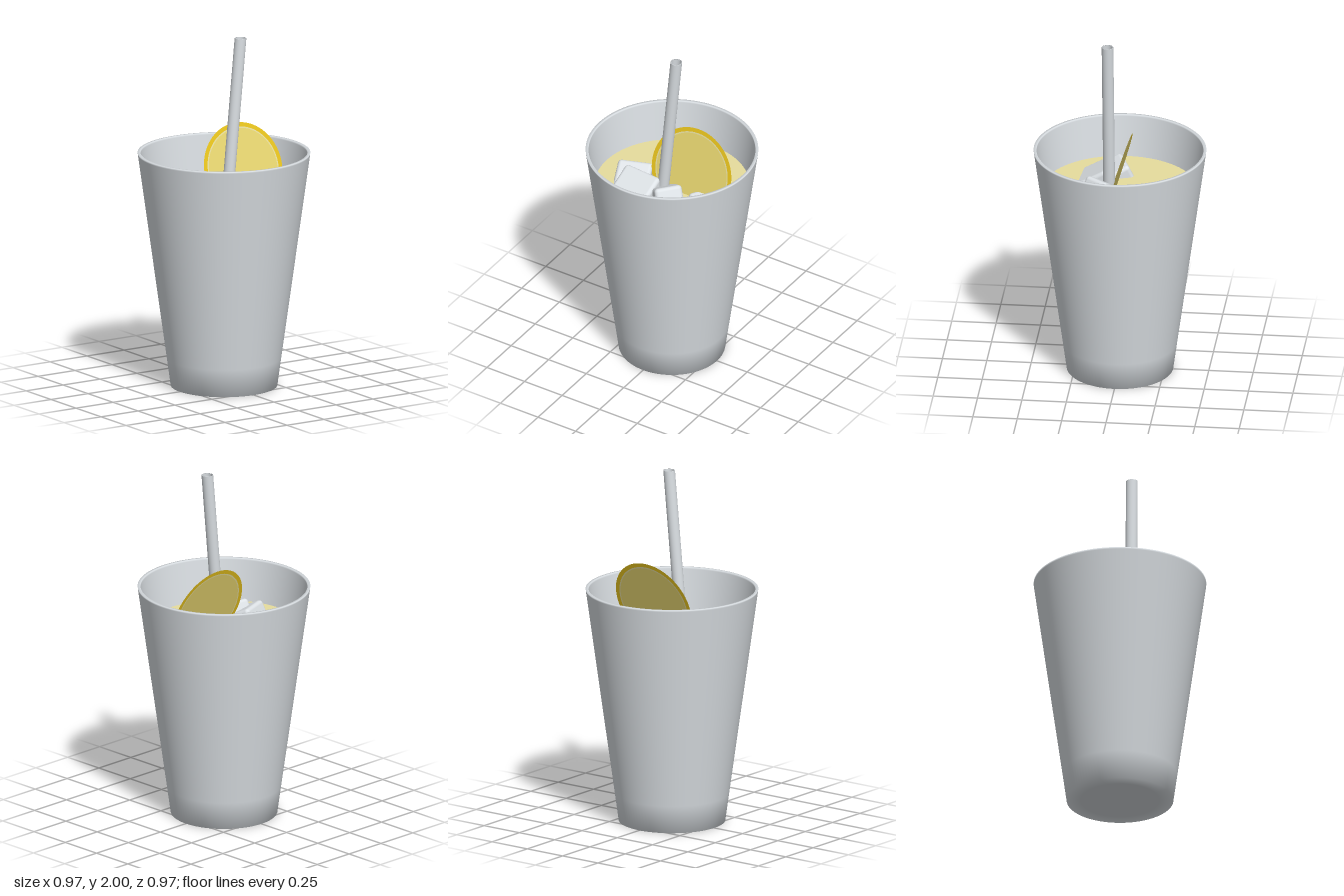
import * as THREE from 'three';
import { RoundedBoxGeometry } from 'three/addons/geometries/RoundedBoxGeometry.js';

const material = (name, color, side = THREE.FrontSide) => {
  const m = new THREE.MeshStandardMaterial({ color, side });
  m.name = name;
  return m;
};

const lathe = (points, segments) =>
  new THREE.LatheGeometry(points.map(([r, y]) => new THREE.Vector2(r, y)), segments);

export function createModel() {
  const white = material('cupWhite', 0xd9dee2);
  const iceWhite = material('iceWhite', 0xe4e9ed);
  const drink = material('drinkYellow', 0xeee4a2);
  const peel = material('peelYellow', 0xf2cc20, THREE.DoubleSide);
  const pith = material('pithCream', 0xf3eaa8, THREE.DoubleSide);
  const pulp = material('pulpYellow', 0xeedc74, THREE.DoubleSide);

  const model = new THREE.Group();
  const add = (name, geometry, mat, parent = model) => {
    const mesh = new THREE.Mesh(geometry, mat);
    mesh.name = name;
    parent.add(mesh);
    return mesh;
  };

  // Thin-walled tapered cup, with softly shaded base edge
  add('cup', lathe([
    [0, 0], [0.22, 0], [0.299, 0], [0.321, 0.16], [0.483, 1.33], [0.484, 1.34],
    [0.468, 1.34], [0.467, 1.33], [0.288, 0.05], [0.284, 0.03], [0, 0.03],
  ], 96), white);

  // Drink filling the cup
  const level = 1.1;
  const body = new THREE.CylinderGeometry(0.433, 0.286, level - 0.04, 96);
  body.translate(0, (level + 0.04) / 2, 0);
  add('drink', body, drink);

  // Hollow straw, sheared sideways so that its ends stay level
  const straw = lathe([
    [0.028, 2], [0.028, 0.1], [0.033, 0.1], [0.033, 2], [0.028, 2],
  ], 32);
  straw.applyMatrix4(new THREE.Matrix4().set(
    1, 0.098, 0, -0.127,
    0, 1, 0, 0,
    0, 0, 1, 0.063,
    0, 0, 0, 1,
  ));
  add('straw', straw, white);

  // Citrus slice leaning back, half sunk in the drink
  const slice = new THREE.Group();
  slice.name = 'citrusSlice';
  slice.position.set(0.13, 1.23, 0);
  slice.rotation.x = -0.315;
  add('slicePeel', new THREE.RingGeometry(0.236, 0.26, 72), peel, slice);
  add('slicePith', new THREE.RingGeometry(0.228, 0.236, 72), pith, slice);
  add('slicePulp', new THREE.CircleGeometry(0.228, 72), pulp, slice);
  model.add(slice);

  // Ice cubes: size, centre of the top face, then spin, tilt and yaw in degrees
  const ice = new THREE.Group();
  ice.name = 'iceCubes';
  const rad = THREE.MathUtils.degToRad;
  [
    [0.20, [-0.21, 1.13, 0.085], 0, 25, 20],
    [0.24, [-0.15, 1.13, 0.184], 0, 30, -5],
    [0.16, [0.006, 1.14, 0.085], 0, 30, 230],
    [0.19, [0.275, 1.13, 0.06], 45, 17, 0],
  ].forEach(([size, top, spin, tilt, yaw], i) => {
    const cube = new RoundedBoxGeometry(size, size, size, 4, 0.022);
    cube.translate(0, -size / 2, 0);
    cube.rotateY(rad(spin)).rotateX(rad(tilt)).rotateY(rad(yaw));
    cube.translate(...top);
    add(`iceCube${i + 1}`, cube, iceWhite, ice);
  });
  model.add(ice);

  return model;
}
